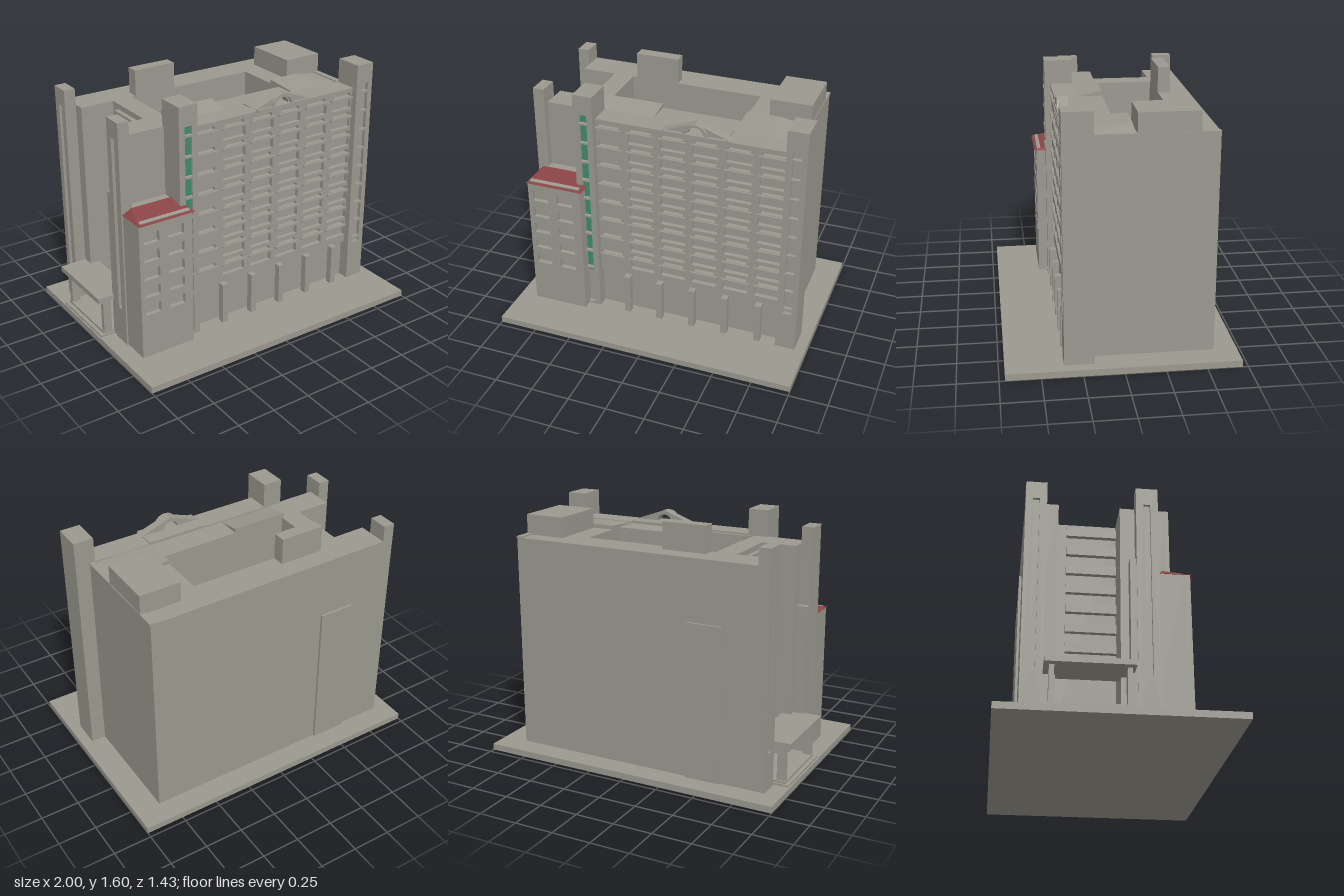
import * as THREE from 'three';

const concrete = new THREE.MeshStandardMaterial({ color: 0x9b998f });
concrete.name = 'concrete';
const red = new THREE.MeshStandardMaterial({ color: 0x8b4445, side: THREE.DoubleSide });
red.name = 'red roof';
const green = new THREE.MeshStandardMaterial({ color: 0x3f8a6c });
green.name = 'green glass';

const GROUND = 0.042, ROOF = 1.43, FLOOR = 0.1335;

export function createModel() {
  const model = new THREE.Group();
  model.name = 'building';

  const add = (name, geometry, material = concrete) => {
    const mesh = new THREE.Mesh(geometry, material);
    mesh.name = name;
    model.add(mesh);
    return mesh;
  };
  // Box from its lower and upper limits on each axis
  const box = (name, x0, x1, y0, y1, z0, z1, material) => {
    const mesh = add(name, new THREE.BoxGeometry(x1 - x0, y1 - y0, z1 - z0), material);
    mesh.position.set((x0 + x1) / 2, (y0 + y1) / 2, (z0 + z1) / 2);
    return mesh;
  };
  const polygon = (points, Type = THREE.Shape) => new Type(points.map(p => new THREE.Vector2(...p)));
  const rect = (x0, x1, y0, y1, Type) => polygon([[x0, y0], [x1, y0], [x1, y1], [x0, y1]], Type);
  const extrude = (shape, depth) =>
    new THREE.ExtrudeGeometry(shape, { depth, bevelEnabled: false, curveSegments: 16 });
  // Wall facing +z, pierced by rectangular openings [x0, x1, y0, y1]
  const panel = (name, x0, x1, y0, y1, z0, z1, openings) => {
    const shape = rect(x0, x1, y0, y1);
    openings.forEach(o => shape.holes.push(rect(...o, THREE.Path)));
    const mesh = add(name, extrude(shape, z1 - z0));
    mesh.position.z = z0;
    return mesh;
  };

  box('base', -1, 1, 0, GROUND, -0.715, 0.715);

  // Ranges around the closed courtyard
  box('rearRange', -0.82, 0.835, GROUND, ROOF, -0.57, -0.365);
  box('rightRange', 0.43, 0.835, GROUND, ROOF, -0.365, 0.01);
  box('crossRange', -0.595, -0.46, GROUND, ROOF, -0.365, 0.01);
  box('frontRange', -0.56, 0.835, GROUND, ROOF, 0.01, 0.175);
  box('frontRangeEnd', -0.82, -0.56, GROUND, ROOF, 0.01, 0.19);
  box('frontRangeFace', -0.43, 0.8, GROUND, 1.42, 0.175, 0.285);
  box('rearPanel', -0.6, -0.365, GROUND, 1.04, -0.585, -0.57);
  box('parapetRight', 0.8, 0.84, 1.425, 1.438, -0.57, 0.175);

  // Rooftop blocks
  box('rightRoofBlock', 0.57, 0.836, ROOF, 1.56, -0.455, -0.085);
  box('rearRoofBlock', -0.43, -0.14, ROOF, 1.6, -0.445, -0.364);

  // Low sloping roof faces over the front range
  const leftSlope = add('leftRoofSlope', extrude(polygon([[-0.17, ROOF], [-0.01, ROOF], [-0.01, 1.46]]), 0.37));
  leftSlope.rotation.y = Math.PI / 2;
  leftSlope.position.x = -0.47;
  const rightSlope = add('rightRoofSlope',
    extrude(polygon([[0.43, ROOF], [0.79, ROOF], [0.65, 1.455], [0.43, 1.455]]), 0.25));
  rightSlope.position.z = -0.08;
  const slopePos = rightSlope.geometry.attributes.position;
  for (let i = 0; i < slopePos.count; i++) {
    if (slopePos.getZ(i) > 0.1) slopePos.setY(i, ROOF + (slopePos.getY(i) - ROOF) * 0.25);
  }
  rightSlope.geometry.computeVertexNormals();

  // Front facade: eight storeys of six bays, each with a slot, ledge and recess
  const openings = [];
  for (let row = 0; row < 8; row++) {
    const y = 1.30 - row * FLOOR;
    for (let col = 0; col < 6; col++) {
      const x = -0.348 + col * 0.2135;
      openings.push([x - 0.083, x + 0.083, y, y + 0.067], [x - 0.07, x + 0.07, y + 0.086, y + 0.11]);
      box('ledge', x - 0.093, x + 0.093, y + 0.069, y + 0.083, 0.31, 0.328);
    }
  }
  panel('facade', -0.43, 0.8, 0.31, 1.425, 0.285, 0.315, openings);
  box('cornice', -0.43, 0.8, 1.42, 1.44, 0.17, 0.322);
  for (let i = 0; i < 5; i++) {
    const x = -0.23 + i * 0.226;
    box('pier', x - 0.02, x + 0.02, GROUND, 0.32, 0.315, 0.36);
  }

  // Arched gable on the front roof edge
  box('gableSlab', 0.03, 0.425, 1.43, 1.448, 0.17, 0.335);
  const gable = polygon([[0.01, 1.44], [0.45, 1.44], [0.225, 1.52]]);
  const arch = new THREE.Path();
  arch.moveTo(0.295, 1.442);
  arch.absarc(0.225, 1.442, 0.05, 0, Math.PI, false);
  gable.holes.push(arch);
  add('gable', extrude(gable, 0.055)).position.z = 0.26;
  const ring = new THREE.Shape();
  ring.absarc(0.225, 1.435, 0.082, 0, Math.PI, false);
  ring.absarc(0.225, 1.435, 0.066, Math.PI, 0, true);
  add('gableArch', extrude(ring, 0.02)).position.z = 0.312;

  // Front towers with window strips
  const barHeights = Array.from({ length: 9 }, (_, i) => 1.41 - i * 0.1335);
  box('leftTower', -0.56, -0.43, GROUND, 1.6, 0.175, 0.335);
  panel('leftTowerFace', -0.56, -0.43, GROUND, 1.6, 0.335, 0.36, [[-0.52, -0.47, 0.06, 1.47]]);
  box('greenWindow', -0.52, -0.47, 0.31, 1.47, 0.335, 0.343, green);
  barHeights.forEach(y => box('windowBar', -0.522, -0.468, y - 0.006, y + 0.006, 0.34, 0.367));
  box('rightTower', 0.8, 0.93, GROUND, 1.6, 0.175, 0.335);
  const towerWindows = barHeights.map((y, i) => [0.84, 0.895, y + 0.008, i ? y + 0.125 : 1.47]);
  towerWindows.push([0.84, 0.895, 0.31, 0.335]);
  panel('rightTowerFace', 0.8, 0.93, GROUND, 1.6, 0.335, 0.36, towerWindows);

  // Thin towers on the left side, each with a long slit
  for (const [z0, z1] of [[-0.57, -0.44], [0.1, 0.235]]) {
    const mid = (z0 + z1) / 2;
    box('sideTower', -0.875, -0.82, GROUND, 1.535, z0, z1);
    const face = panel('sideTowerFace', z0, z1, GROUND, 1.535, 0, 0.02,
      [[mid - 0.02, mid + 0.02, 0.28, 1.42]]);
    face.rotation.y = -Math.PI / 2;
    face.position.x = -0.875;
  }
  box('sidePier', -0.89, -0.82, GROUND, 1.04, 0.06, 0.1);

  // Balconies in the left recess
  for (let row = 0; row < 8; row++) {
    const y = 0.4 + row * FLOOR;
    box('recessBalcony', -0.625, -0.595, y, y + 0.06, -0.3, 0.01);
  }

  // Entrance canopy
  box('canopy', -1, -0.76, 0.295, 0.33, -0.438, 0.08);
  for (const z of [-0.41, 0.03]) box('canopyPost', -0.96, -0.905, GROUND, 0.295, z, z + 0.03);
  box('entranceStep', -0.99, -0.76, GROUND, 0.055, -0.43, 0.07);
  box('entranceStepUpper', -0.965, -0.76, 0.055, 0.07, -0.42, 0.06);

  // Low front wing with windows
  box('wing', -0.885, -0.515, GROUND, 0.95, 0.19, 0.39);
  const wingWindows = [];
  for (let row = 0; row < 5; row++) {
    const y = 0.335 + row * 0.121;
    wingWindows.push([-0.855, -0.747, y, y + 0.07], [-0.683, -0.573, y, y + 0.07]);
  }
  panel('wingFace', -0.885, -0.515, GROUND, 0.95, 0.39, 0.42, wingWindows);
  box('wingRoofBack', -0.835, -0.56, 0.95, 0.985, 0.19, 0.259);

  // Red hipped roof: front slope, two side slopes and the eave soffit
  const c = {
    bl: [-0.89, 0.95, 0.235], fl: [-0.89, 0.95, 0.435], fr: [-0.5, 0.95, 0.435],
    br: [-0.5, 0.95, 0.3], tl: [-0.84, 0.995, 0.26], tr: [-0.56, 0.995, 0.26],
  };
  const faces = ['fl fr tr', 'fl tr tl', 'bl fl tl', 'fr br tr', 'bl br fr', 'bl fr fl'];
  const roof = new THREE.BufferGeometry();
  roof.setAttribute('position', new THREE.Float32BufferAttribute(
    faces.flatMap(f => f.split(' ').flatMap(k => c[k])), 3));
  roof.computeVertexNormals();
  add('wingRoof', roof, red);
  const strip = box('roofStrip', -0.87, -0.525, 0.956, 0.964, 0.39, 0.415);
  strip.rotation.x = 0.25;

  return model;
}
